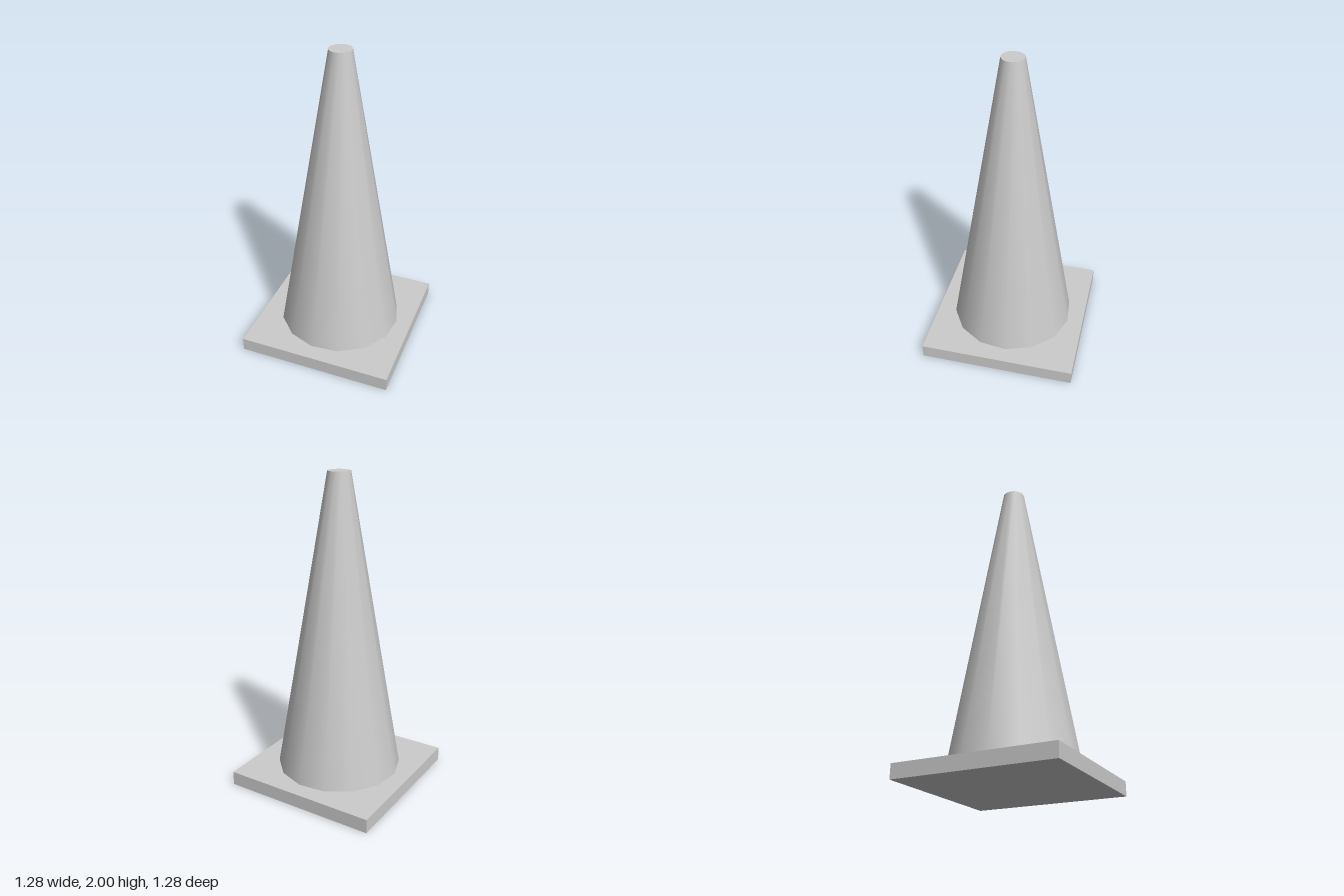
import * as THREE from 'three';

const BASE_SIZE = 1.0;
const BASE_HEIGHT = 0.09;
const TOTAL_HEIGHT = 2;
const SIDES = 14;

export function createModel() {
  const model = new THREE.Group();
  model.name = 'trafficCone';
  const material = new THREE.MeshStandardMaterial({ color: 0xcccccc });

  // Square foot plate, turned a little about the upright axis
  const base = new THREE.Mesh(new THREE.BoxGeometry(BASE_SIZE, BASE_HEIGHT, BASE_SIZE), material);
  base.name = 'basePlate';
  base.position.y = BASE_HEIGHT / 2;
  base.rotation.y = THREE.MathUtils.degToRad(20);
  model.add(base);

  // Smooth tapered body with a flat tip, one corner pointing along +x
  const height = TOTAL_HEIGHT - BASE_HEIGHT;
  const cone = new THREE.Mesh(new THREE.CylinderGeometry(0.07, 0.4, height, SIDES), material);
  cone.name = 'coneBody';
  cone.position.y = BASE_HEIGHT + height / 2;
  cone.rotation.y = Math.PI / 2;
  model.add(cone);

  return model;
}
